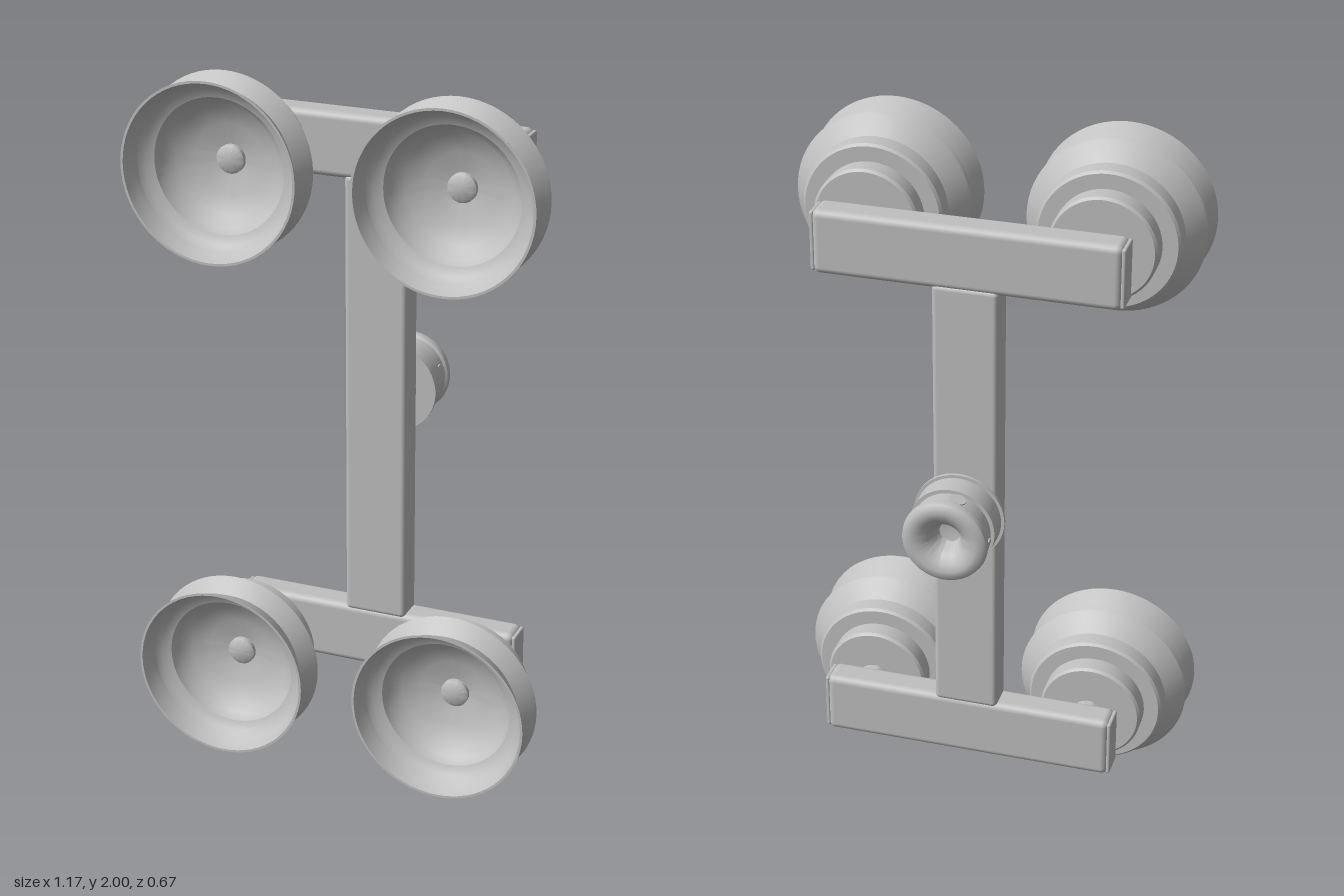
import * as THREE from 'three';
import { toCreasedNormals } from 'three/addons/utils/BufferGeometryUtils.js';
import { RoundedBoxGeometry } from 'three/addons/geometries/RoundedBoxGeometry.js';

const grey = new THREE.MeshStandardMaterial({ color: 0xc0c0c0, side: THREE.DoubleSide });
grey.name = 'light grey';

function add(parent, geometry, name, x = 0, y = 0, z = 0) {
  const mesh = new THREE.Mesh(geometry, grey);
  mesh.name = name;
  mesh.position.set(x, y, z);
  parent.add(mesh);
  return mesh;
}

// Turned part along z; profile is a list of [radius, z]
function turned(profile, segments = 64) {
  const g = new THREE.LatheGeometry(profile.map(([r, z]) => new THREE.Vector2(r, z)), segments);
  g.rotateX(Math.PI / 2);
  return toCreasedNormals(g, 0.6);
}

export function createModel() {
  const model = new THREE.Group();
  model.name = 'suctionCupGripper';

  // Shared shapes: stepped bellows cup with a dished mouth, and its fitting
  const cupShape = turned([
    [0, 0.045], [0.143, 0.045], [0.15, 0.052], [0.15, 0.103], [0.193, 0.103], [0.2, 0.11],
    [0.203, 0.155], [0.247, 0.2], [0.252, 0.207], [0.247, 0.214], [0.215, 0.254],
    [0.253, 0.33], [0.246, 0.33], [0.232, 0.285], [0.215, 0.265], [0.19, 0.255],
    [0.18, 0.228], [0.15, 0.202], [0.1, 0.182], [0.04, 0.17], [0.04, 0.183], [0.03, 0.189], [0, 0.191],
  ]);
  const fittingShape = turned([
    [0, -0.04], [0.06, -0.04], [0.06, -0.018], [0.055, -0.012], [0.04, -0.012], [0.04, -0.008],
    [0.045, -0.008], [0.05, -0.002], [0.05, 0.03], [0.045, 0.037], [0.04, 0.037], [0.04, 0.05],
  ], 40);

  // Two cross bars, each carrying two cups
  for (const [y, label] of [[0.26, 'lower'], [1.75, 'upper']]) {
    add(model, new RoundedBoxGeometry(0.85, 0.185, 0.09, 4, 0.02), label + 'CrossBar', 0, y, -0.08);
    for (const s of [-1, 1]) {
      const side = s > 0 ? 'Left' : 'Right';
      add(model, new RoundedBoxGeometry(0.012, 0.17, 0.078, 2, 0.005), label + side + 'EndCap', s * 0.426, y, -0.08);
      const cup = new THREE.Group();
      cup.name = label + side + 'Cup';
      cup.position.set(s * 0.33, y, 0);
      add(cup, cupShape, 'suctionCup');
      add(cup, fittingShape, 'fitting');
      model.add(cup);
    }
  }

  // Upright joining the bars
  add(model, new RoundedBoxGeometry(0.186, 1.33, 0.09, 4, 0.015), 'upright', 0, 1.005, -0.08);

  // Rear coupling: flange, body, groove and rounded collar with a funnel
  const coupling = new THREE.Group();
  coupling.name = 'coupling';
  coupling.position.set(0, 1.005, 0);
  add(coupling, turned([
    [0, -0.26], [0.03, -0.265], [0.038, -0.29], [0.05, -0.313], [0.07, -0.328], [0.09, -0.335],
    [0.108, -0.333], [0.118, -0.325], [0.121, -0.312], [0.119, -0.302], [0.112, -0.297],
    [0.11, -0.25], [0.121, -0.25], [0.121, -0.183], [0.13, -0.183], [0.13, -0.173],
    [0.071, -0.173], [0.071, -0.12],
  ]), 'couplingBody');
  // Ball seats around the groove
  for (let i = 0; i < 4; i++) {
    const a = 0.22 + i * Math.PI / 2;
    const g = new THREE.CylinderGeometry(0.024, 0.024, 0.012, 24);
    g.rotateZ(-Math.PI / 2);
    const seat = add(coupling, g, 'ballSeat', 0.107 * Math.cos(a), 0.107 * Math.sin(a), -0.274);
    seat.rotation.z = a;
  }
  model.add(coupling);
  return model;
}
